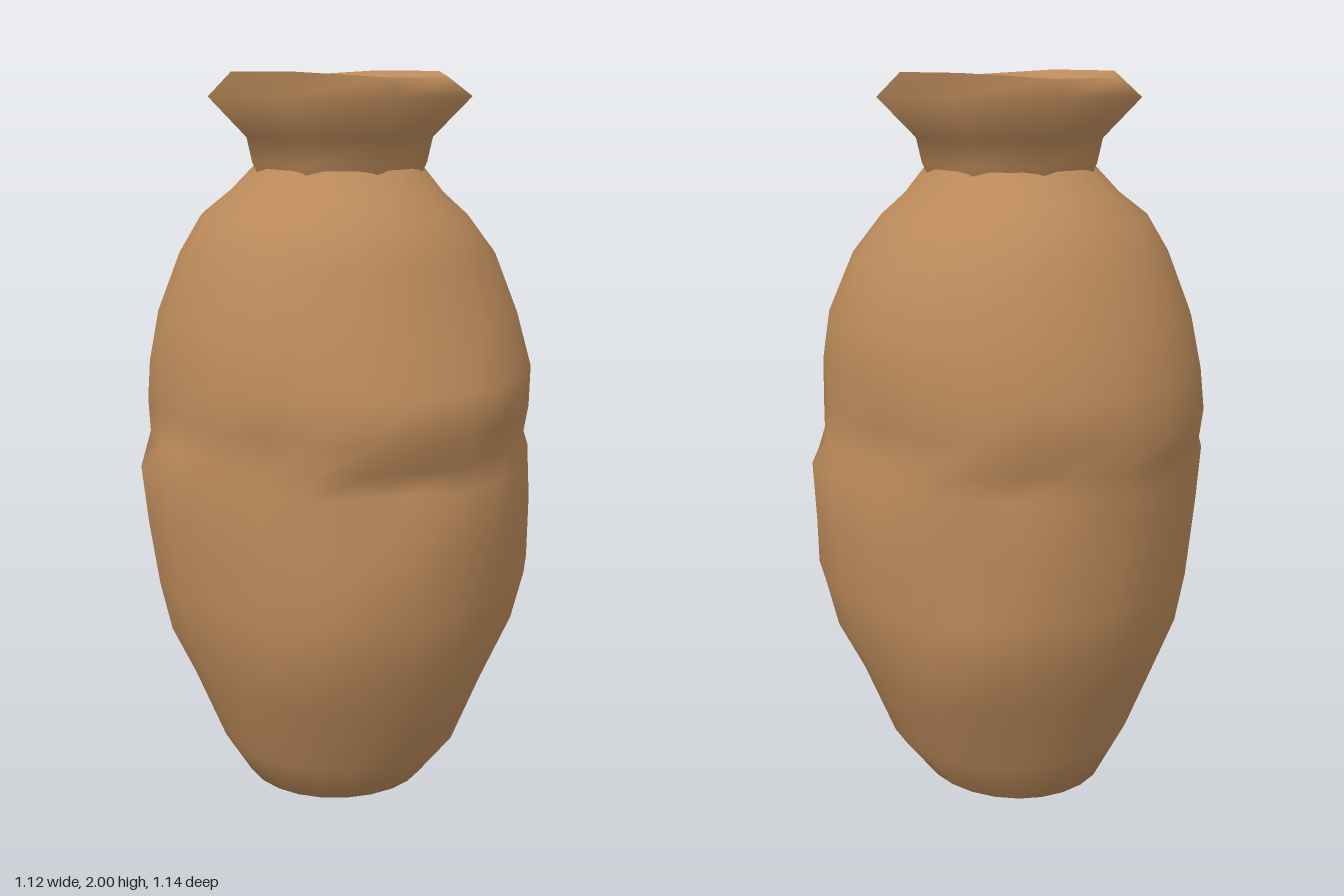
import * as THREE from 'three';

function colour(name, hex) {
  const material = new THREE.MeshStandardMaterial({ color: hex });
  material.name = name;
  return material;
}
const clay = colour('brown clay', 0xba895a);
const shade = colour('dark brown', 0x402820);
const rad = THREE.MathUtils.degToRad;

// Surface through rings of points; point(i, angle) gives each vertex.
function loft(name, material, rings, sides, offset, point, closed = false) {
  const pos = [], index = [];
  for (let i = 0; i < rings; i++) {
    for (let j = 0; j < sides; j++) pos.push(...point(i, offset + (j / sides) * Math.PI * 2));
  }
  for (let i = 0; i < rings - 1; i++) {
    for (let j = 0; j < sides; j++) {
      const a = i * sides + j, b = i * sides + ((j + 1) % sides);
      index.push(a, a + sides, b, b, a + sides, b + sides);
    }
  }
  // flat underside sharing the first ring
  if (closed) for (let j = 1; j < sides - 1; j++) index.push(0, j, j + 1);
  const geo = new THREE.BufferGeometry();
  geo.setAttribute('position', new THREE.Float32BufferAttribute(pos, 3));
  geo.setIndex(index);
  geo.computeVertexNormals();
  const mesh = new THREE.Mesh(geo, material);
  mesh.name = name;
  return mesh;
}

// Body rings: height, reach to -x, +x, +z and -z, then swelling of the two side lumps
const BODY = [
  [0, 0.27, 0.25, 0.26, 0.28, 0],
  [0.13, 0.35, 0.35, 0.36, 0.34, 0],
  [0.34, 0.43, 0.43, 0.445, 0.425, 0.005],
  [0.48, 0.475, 0.48, 0.505, 0.485, 0.025],
  [0.62, 0.5, 0.505, 0.53, 0.51, 0.03],
  [0.8, 0.51, 0.51, 0.545, 0.525, 0.045],
  [0.96, 0.515, 0.51, 0.55, 0.535, 0.056],
  [1.02, 0.515, 0.51, 0.55, 0.55, 0.01],
  [1.11, 0.52, 0.51, 0.57, 0.57, 0],
  [1.22, 0.515, 0.51, 0.56, 0.55, 0],
  [1.36, 0.49, 0.505, 0.48, 0.515, 0],
  [1.52, 0.43, 0.43, 0.43, 0.445, 0],
  [1.62, 0.37, 0.345, 0.37, 0.385, 0],
  [1.68, 0.29, 0.28, 0.3, 0.315, 0],
  [1.75, 0.23, 0.23, 0.23, 0.23, 0],
];

// Dents and lumps: angle, height, angular width, height width, depth
const DENTS = [
  [111, 0.98, 12, 0.07, -0.07],
  [75, 1.05, 10, 0.06, -0.05],
  [55, 1.05, 10, 0.07, -0.04],
  [150, 1.05, 13, 0.07, -0.05],
  [192, 1.06, 10, 0.05, -0.03],
  [295, 1.03, 13, 0.06, -0.05],
  [343, 1.03, 13, 0.06, -0.05],
  [332, 0.87, 13, 0.08, 0.02],
  [33, 0.65, 14, 0.2, 0.035],
  [135, 0.5, 18, 0.12, 0.035],
  [315, 0.48, 20, 0.12, 0.04],
  [127, 0.76, 10, 0.08, 0.025],
  [259, 0.88, 10, 0.08, 0.02],
];

function falloff(angle, deg, width) {
  const d = angle - rad(deg);
  return Math.exp(-((Math.atan2(Math.sin(d), Math.cos(d)) / rad(width)) ** 2));
}

function bodyPoint(i, angle) {
  const [y, right, left, front, back, lump] = BODY[i];
  const c = Math.cos(angle), s = Math.sin(angle);
  let k = 1 + (lump / 0.51) * (falloff(angle, 8, 22) + falloff(angle, 190, 22));
  for (const [deg, h, w, hw, depth] of DENTS) {
    k += (depth / 0.54) * falloff(angle, deg, w) * Math.exp(-(((y - h) / hw) ** 2));
  }
  return [c * (c > 0 ? left : right) * k, y, s * (s > 0 ? front : back) * k];
}

// Profiles as radius, height
const NECK = [[0.21, 1.68], [0.25, 1.765], [0.265, 1.83], [0.37, 1.935], [0.305, 1.99], [0.175, 1.76]];
const THROAT = [[0.175, 1.76], [0.165, 1.69]];
const HOLLOW = [[0.165, 1.69], [0.4, 1.4], [0.46, 0.8], [0.23, 0.06]];

function ringed(name, material, profile) {
  return loft(name, material, profile.length, 8, rad(11), (i, a) => {
    const [r, y] = profile[i];
    // the lip is slightly uneven
    const wave = y > 1.95 ? 0.01 * Math.sin(a * 2 + 2) : 0;
    return [Math.cos(a) * r, y + wave, Math.sin(a) * r];
  });
}

export function createModel() {
  const group = new THREE.Group();
  group.name = 'vase';
  group.add(loft('body', clay, BODY.length, 24, 0, bodyPoint, true));
  group.add(ringed('neckAndRim', clay, NECK));
  group.add(ringed('throat', shade, THROAT));
  group.add(ringed('hollow', clay, HOLLOW));

  // Floor of the hollow
  const floor = new THREE.Mesh(new THREE.CircleGeometry(0.24, 16), clay);
  floor.name = 'innerFloor';
  floor.rotation.x = -Math.PI / 2;
  floor.position.y = 0.06;
  group.add(floor);
  return group;
}
